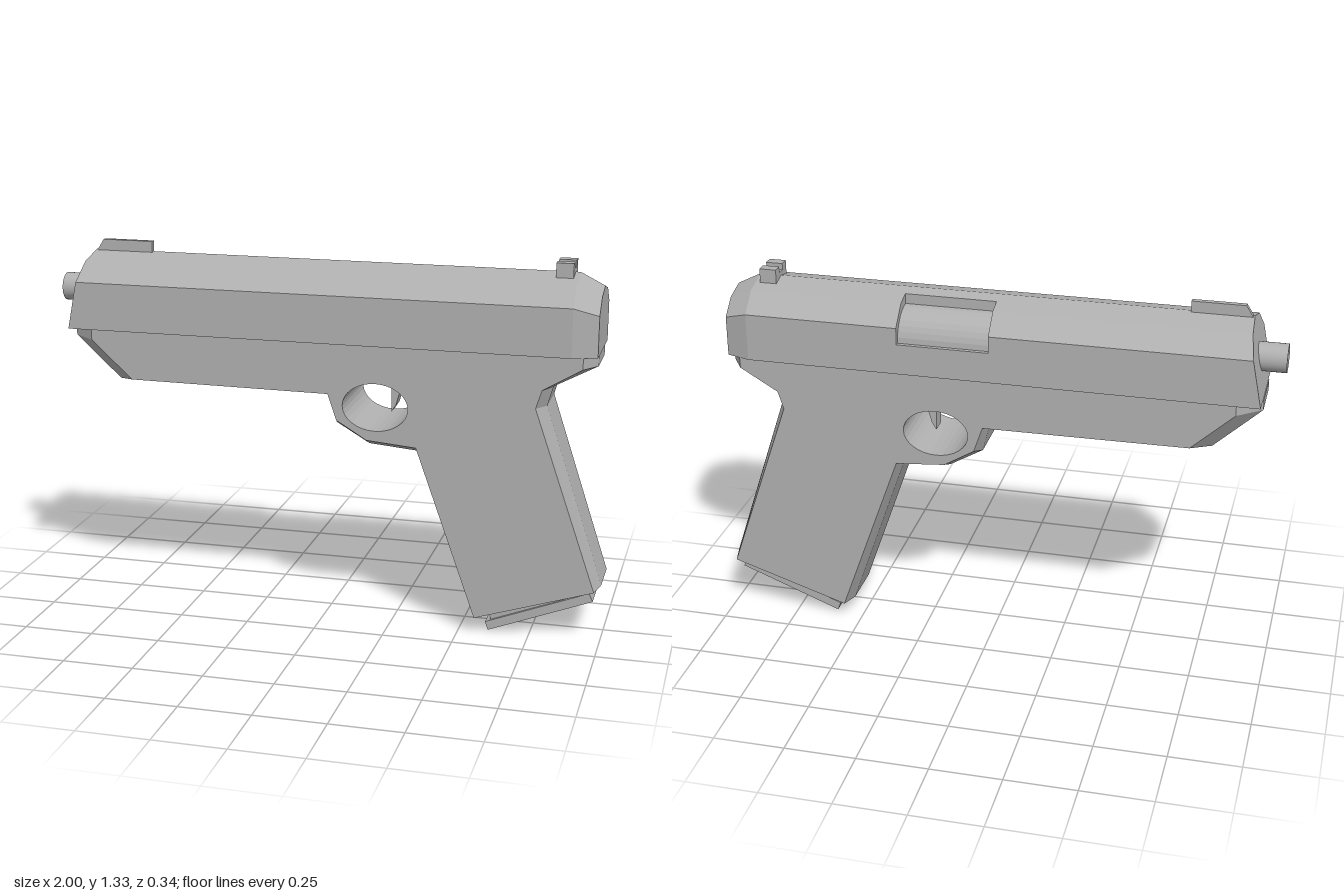
import * as THREE from 'three';

const metal = new THREE.MeshStandardMaterial({ color: 0xb0b0b0 });
metal.name = 'plain grey';

// Loft through rings of [u, v] points (counter-clockwise), ordered from high w to low w.
// Each ring's w is a number or a function of v; hole is a clockwise ring cut in both caps.
function loft(rings, hole = []) {
  const pos = [];
  const at = (r, [u, v]) => [u, v, typeof r.w === 'function' ? r.w(v) : r.w];
  const tri = (...p) => p.forEach((q) => pos.push(...q));
  const walls = (list) => {
    for (let k = 0; k < list.length - 1; k++) {
      const A = list[k], B = list[k + 1], n = A.pts.length;
      for (let i = 0; i < n; i++) {
        const j = (i + 1) % n;
        const a = at(A, A.pts[i]), b = at(A, A.pts[j]);
        const c = at(B, B.pts[j]), d = at(B, B.pts[i]);
        tri(a, d, b);
        tri(b, d, c);
      }
    }
  };
  walls(rings);
  const first = rings[0], last = rings[rings.length - 1];
  if (hole.length) walls([{ pts: hole, w: first.w }, { pts: hole, w: last.w }]);
  for (const r of [first, last]) {
    const vec = (l) => l.map(([u, v]) => new THREE.Vector2(u, v));
    const all = [...r.pts, ...hole];
    const faces = THREE.ShapeUtils.triangulateShape(vec(r.pts), hole.length ? [vec(hole)] : []);
    for (const [a, b, c] of faces) {
      const p = [a, b, c].map((i) => at(r, all[i]));
      if (r === first) tri(...p);
      else tri(p[0], p[2], p[1]);
    }
  }
  const g = new THREE.BufferGeometry();
  g.setAttribute('position', new THREE.Float32BufferAttribute(pos, 3));
  g.computeVertexNormals();
  return g;
}

// Flat side profile of even thickness
const plate = (pts, half) => loft([{ pts, w: half }, { pts, w: -half }]);

export function createModel() {
  const model = new THREE.Group();
  model.name = 'pistol';
  const add = (name, geometry, parent = model) => {
    const m = new THREE.Mesh(geometry, metal);
    m.name = name;
    parent.add(m);
    return m;
  };

  // Frame and grip: chamfered side profile with an oval opening
  const outer = [
    [-0.935, 1.025], [-0.935, 0.985], [-0.77, 0.833], [0.015, 0.828], [0.04, 0.725],
    [0.16, 0.655], [0.335, 0.64], [0.54, 0.053], [0.995, 0.2], [0.785, 0.835],
    [0.805, 0.905], [0.955, 0.985], [0.955, 1.025],
  ];
  const inner = [
    [-0.85, 1.025], [-0.85, 0.985], [-0.7, 0.848], [0.025, 0.843], [0.057, 0.75],
    [0.165, 0.685], [0.342, 0.67], [0.56, 0.06], [0.978, 0.195], [0.755, 0.84],
    [0.775, 0.905], [0.91, 0.985], [0.91, 1.025],
  ];
  const opening = Array.from({ length: 32 }, (_, i) => {
    const a = (-i / 32) * Math.PI * 2;
    return [0.195 + 0.117 * Math.cos(a), 0.805 + 0.085 * Math.sin(a)];
  });
  add('frame', loft([
    { pts: inner, w: 0.155 }, { pts: outer, w: 0.085 },
    { pts: outer, w: -0.085 }, { pts: inner, w: -0.155 },
  ], opening));

  // Trigger
  add('trigger', plate([
    [0.226, 0.76], [0.242, 0.785], [0.255, 0.83], [0.258, 0.88], [0.23, 0.89], [0.225, 0.83],
  ], 0.03));

  // Slide: lofted along x, with the middle section cut away for the port
  const slide = new THREE.Group();
  slide.name = 'slide';
  model.add(slide);
  const full = [
    [-0.17, 1.025], [0.17, 1.025], [0.17, 1.195], [0.1, 1.262],
    [0, 1.288], [-0.1, 1.262], [-0.17, 1.195],
  ];
  const rear = [
    [-0.142, 1.025], [0.142, 1.025], [0.142, 1.168], [0.083, 1.223],
    [0, 1.245], [-0.083, 1.223], [-0.142, 1.168],
  ];
  const arc = Array.from({ length: 9 }, (_, i) => {
    const a = (i / 8) * Math.PI / 2;
    return [0.045 + 0.11 * Math.cos(a), 1.135 + 0.105 * Math.sin(a)];
  });
  const cut = [
    [-0.17, 1.025], [0.17, 1.025], [0.17, 1.135], ...arc,
    [0.045, 1.2763], [0, 1.288], [-0.1, 1.262], [-0.17, 1.195],
  ];
  const slant = (y) => -0.932 + (y - 1.025) * 0.2;
  const section = (name, rings) => add(name, loft(rings).rotateY(Math.PI / 2), slide);
  section('slideRear', [{ pts: rear, w: 0.957 }, { pts: full, w: 0.872 }, { pts: full, w: 0.325 }]);
  section('slidePort', [{ pts: cut, w: 0.325 }, { pts: cut, w: 0 }]);
  section('slideFront', [{ pts: full, w: 0 }, { pts: full, w: slant }]);

  // Barrel
  add('barrel', new THREE.CylinderGeometry(0.05, 0.05, 0.2, 32).rotateZ(Math.PI / 2))
    .position.set(-0.9, 1.145, 0);

  // Sights
  add('frontSight', plate([
    [-0.88, 1.27], [-0.665, 1.27], [-0.665, 1.325], [-0.85, 1.325], [-0.872, 1.29],
  ], 0.01));
  add('rearSightBase', new THREE.BoxGeometry(0.06, 0.03, 0.06)).position.set(0.825, 1.287, 0);
  for (const s of [-1, 1]) {
    add('rearSightPost', new THREE.BoxGeometry(0.06, 0.055, 0.037)).position.set(0.825, 1.2975, s * 0.0345);
  }

  // Magazine base and the neck joining it to the grip
  add('magazineBase', plate([[0.603, 0], [0.97, 0.143], [0.957, 0.172], [0.592, 0.03]], 0.105));
  add('magazineNeck', plate([[0.61, 0.03], [0.94, 0.158], [0.93, 0.2], [0.6, 0.09]], 0.095));

  return model;
}
